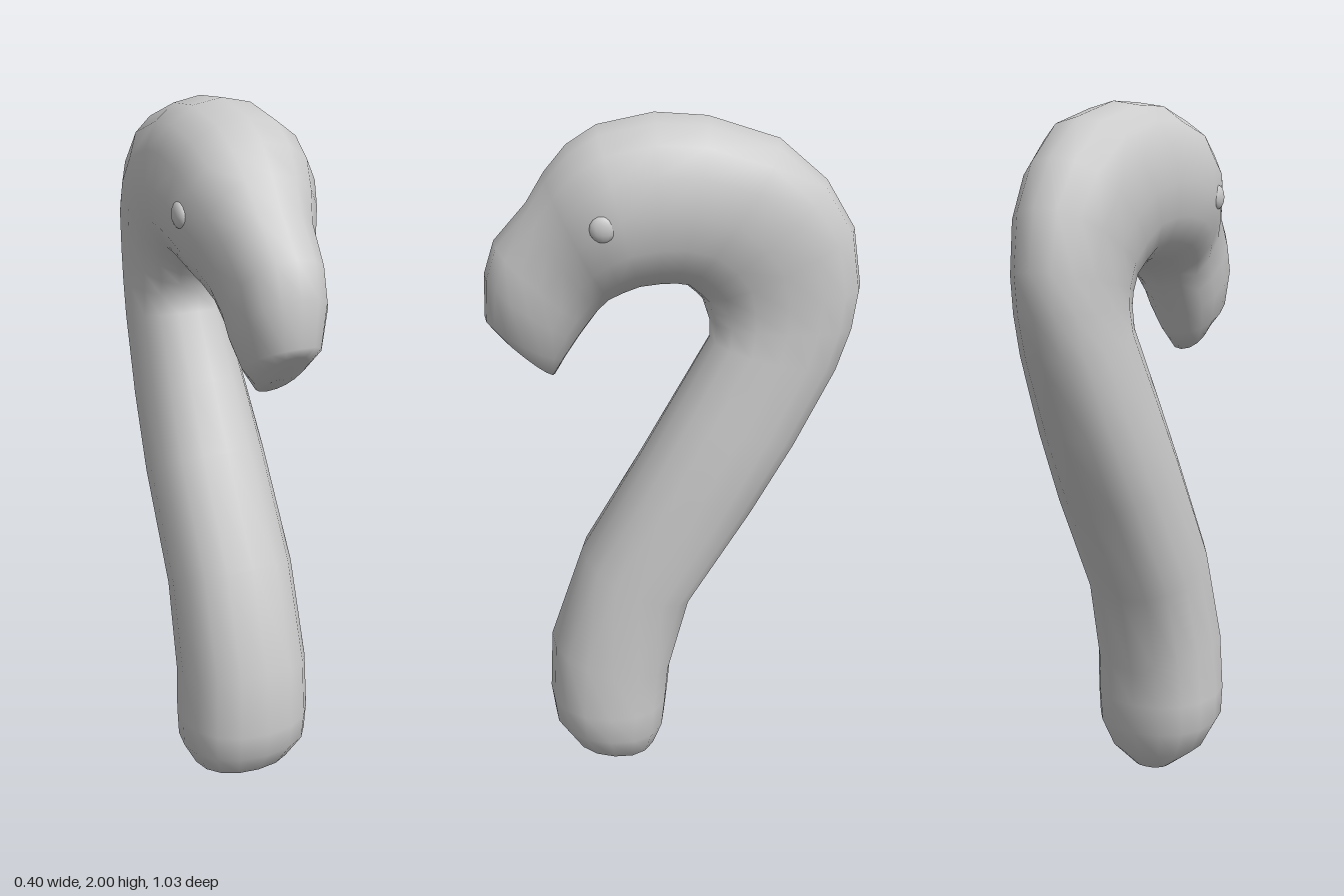
import * as THREE from 'three';

const SIDES = 16;
const material = new THREE.MeshStandardMaterial({ color: 0xcccccc, roughness: 0.8 });

// Cross-sections from base to beak: [inner z, inner y, outer z, outer y, half width]
const SECTIONS = [
  [0.20, 0.01, 0.10, 0.02, 0.05],
  [0.32, 0.10, 0.06, 0.07, 0.145],
  [0.37, 0.18, 0.03, 0.15, 0.187],
  [0.38, 0.26, 0.02, 0.24, 0.19],
  [0.37, 0.45, 0.01, 0.35, 0.185],
  [0.27, 0.74, -0.05, 0.58, 0.178],
  [0.10, 1.03, -0.23, 0.87, 0.17],
  [0.00, 1.21, -0.35, 1.08, 0.155],
  [-0.10, 1.39, -0.46, 1.30, 0.135],
  [-0.10, 1.44, -0.50, 1.42, 0.13],
  [-0.09, 1.47, -0.515, 1.53, 0.13],
  [-0.08, 1.50, -0.49, 1.69, 0.14],
  [-0.06, 1.52, -0.41, 1.82, 0.155],
  [-0.03, 1.545, -0.28, 1.93, 0.17],
  [0.00, 1.55, -0.09, 1.99, 0.182],
  [0.04, 1.55, 0.05, 2.00, 0.193],
  [0.09, 1.545, 0.20, 1.97, 0.197],
  [0.13, 1.53, 0.28, 1.92, 0.188],
  [0.17, 1.51, 0.34, 1.85, 0.165],
  [0.20, 1.48, 0.39, 1.77, 0.138],
  [0.23, 1.44, 0.48, 1.67, 0.125],
  [0.26, 1.40, 0.51, 1.58, 0.12],
  [0.30, 1.34, 0.515, 1.46, 0.095],
  [0.33, 1.29, 0.49, 1.43, 0.06],
];

// Slightly squared oval
const soften = (v) => Math.sign(v) * Math.pow(Math.abs(v), 0.9);

// Closed skin lofted through the sections
function loft(sections) {
  const positions = [];
  const index = [];
  for (const [iz, iy, oz, oy, w] of sections) {
    for (let j = 0; j < SIDES; j++) {
      const t = (j / SIDES) * Math.PI * 2;
      const c = soften(Math.cos(t));
      positions.push(
        soften(Math.sin(t)) * w,
        (iy + oy) / 2 + (c * (oy - iy)) / 2,
        (iz + oz) / 2 + (c * (oz - iz)) / 2
      );
    }
  }
  for (let i = 0; i < sections.length - 1; i++) {
    for (let j = 0; j < SIDES; j++) {
      const k = (j + 1) % SIDES;
      const a = i * SIDES + j, b = i * SIDES + k;
      index.push(a, b + SIDES, b, a, a + SIDES, b + SIDES);
    }
  }
  // End caps
  const last = (sections.length - 1) * SIDES;
  for (const [start, atEnd] of [[0, false], [last, true]]) {
    const [iz, iy, oz, oy] = sections[start / SIDES];
    const centre = positions.length / 3;
    positions.push(0, (iy + oy) / 2 - (atEnd ? 0 : 0.012), (iz + oz) / 2);
    for (let j = 0; j < SIDES; j++) {
      const a = start + j, b = start + ((j + 1) % SIDES);
      if (atEnd) index.push(centre, b, a);
      else index.push(centre, a, b);
    }
  }
  const geometry = new THREE.BufferGeometry();
  geometry.setAttribute('position', new THREE.Float32BufferAttribute(positions, 3));
  geometry.setIndex(index);
  geometry.computeVertexNormals();
  return geometry;
}

export function createModel() {
  const model = new THREE.Group();
  model.name = 'birdNeckAndHead';

  const body = new THREE.Mesh(loft(SECTIONS), material);
  body.name = 'neckHeadAndBeak';
  model.add(body);

  // Low eye bumps on both sides of the head
  for (const side of [1, -1]) {
    const eye = new THREE.Mesh(new THREE.SphereGeometry(0.035, 12, 8), material);
    eye.name = side > 0 ? 'leftEye' : 'rightEye';
    eye.scale.x = 0.5;
    eye.position.set(side * 0.182, 1.74, 0.19);
    model.add(eye);
  }
  return model;
}
